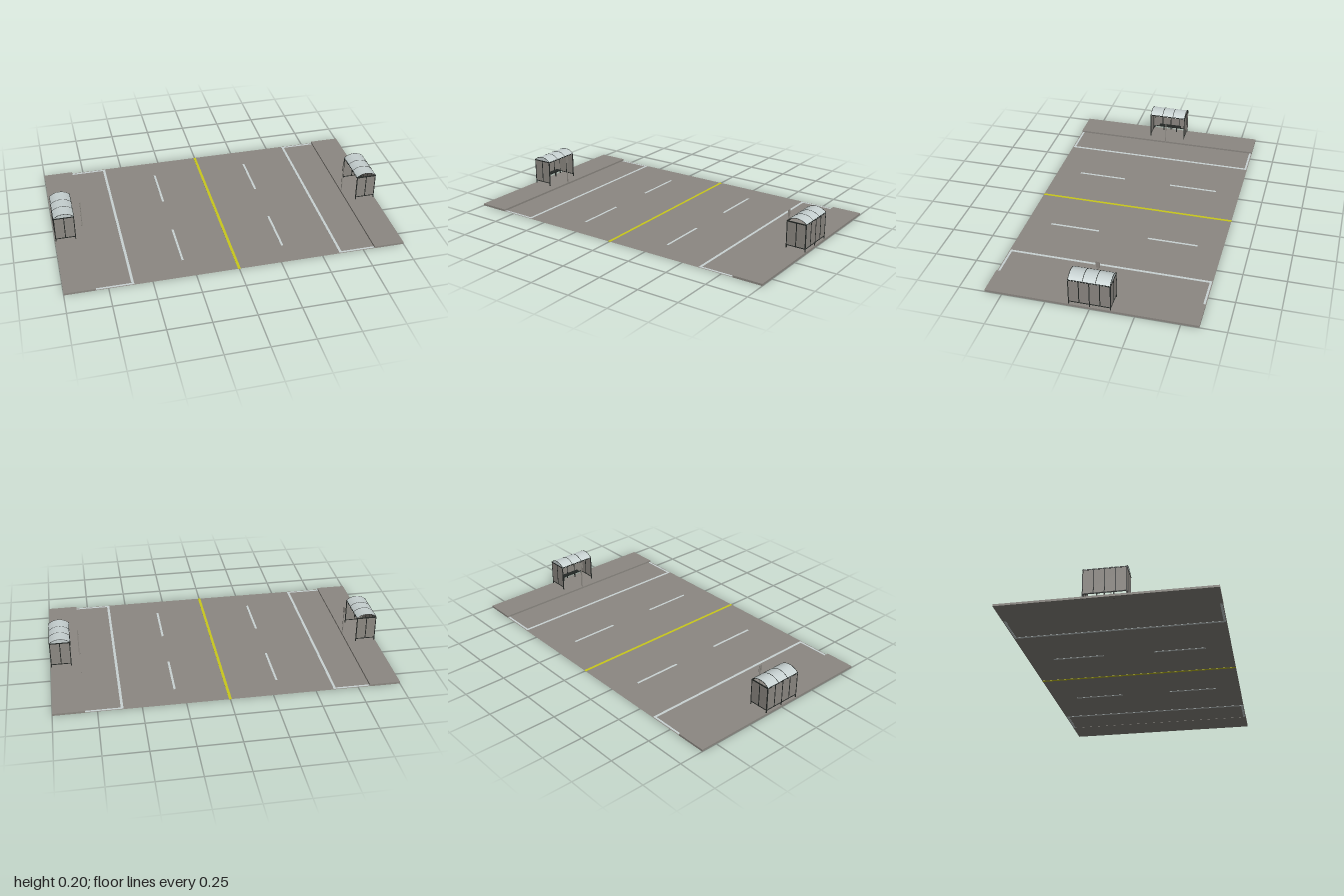
import * as THREE from 'three';

const mat = (name, color, side = THREE.FrontSide) => {
  const m = new THREE.MeshStandardMaterial({ color, side });
  m.name = name;
  return m;
};

export function createModel() {
  const asphalt = mat('asphalt grey', 0x8c8882, THREE.DoubleSide);
  const paint = mat('pale paint', 0xc9d2d2);
  const yellow = mat('yellow paint', 0xc9c81c);
  const black = mat('black frame', 0x232725);
  const roofMat = mat('pale roof', 0xc6d0d0, THREE.DoubleSide);
  const lunetteMat = mat('pale end', 0xc6d0d0);

  const model = new THREE.Group();
  model.name = 'streetWithBusShelters';

  const add = (parent, name, geo, material, x, y, z) => {
    const m = new THREE.Mesh(geo, material);
    m.name = name;
    m.position.set(x, y, z);
    parent.add(m);
    return m;
  };
  // box given by its min and max on each axis
  const box = (parent, name, material, x0, x1, y0, y1, z0, z1) =>
    add(parent, name, new THREE.BoxGeometry(x1 - x0, y1 - y0, z1 - z0), material,
      (x0 + x1) / 2, (y0 + y1) / 2, (z0 + z1) / 2);

  // Road surface and centre line; paint shows on both faces
  const roadGeo = new THREE.PlaneGeometry(1.64, 1.2).rotateX(-Math.PI / 2);
  add(model, 'road', roadGeo, asphalt, 0, 0.001, 0);
  box(model, 'centreLine', yellow, -0.008, 0.008, 0, 0.002, -0.6, 0.6);

  // One side of the street, turned half round for the other
  const makeSide = () => {
    const side = new THREE.Group();
    box(side, 'sidewalk', asphalt, 0.82, 1, 0, 0.012, -0.6, 0.6);

    // Lane markings
    box(side, 'edgeLine', paint, 0.605, 0.62, 0, 0.002, -0.595, 0.595);
    for (const s of [-1, 1]) {
      const z = s * 0.589, d = s * 0.3;
      box(side, 'bayEndLine', paint, 0.62, 0.82, 0, 0.002, z - 0.006, z + 0.006);
      box(side, 'laneDash', paint, 0.293, 0.306, 0, 0.002, d - 0.15, d + 0.15);
    }

    // Stop sign post beside the kerb
    box(side, 'signPole', asphalt, 0.823, 0.828, 0.012, 0.19, -0.0025, 0.0025);
    box(side, 'signPlate', asphalt, 0.824, 0.827, 0.15, 0.19, -0.011, 0.011);

    side.add(makeShelter());
    return side;
  };

  const makeShelter = () => {
    const g = new THREE.Group();
    g.name = 'busShelter';
    const xf = 0.877, xb = 0.994, xm = (xf + xb) / 2, hz = 0.117;
    const t = 0.0025, low = 0.03, top = 0.172;
    const post = (name, x, z, y0) =>
      box(g, name, black, x - t, x + t, y0, top, z - t, z + t);

    // Corner posts and back centre post reach the ground, mullions do not
    for (const z of [-hz, hz]) {
      post('frontPost', xf, z, 0);
      post('backPost', xb, z, 0);
      post('sideMullion', xm, z, low);
      box(g, 'sidePanel', asphalt, xf, xb, low, top, z - 0.001, z + 0.001);
      box(g, 'sideBottomRail', black, xf, xb, low - t, low + t, z - t, z + t);
      box(g, 'sideTopRail', black, xf, xb, top - 0.003, top + 0.003, z - t, z + t);
    }
    post('backCentrePost', xb, 0, 0);
    for (const z of [-hz / 2, hz / 2]) post('backMullion', xb, z, low);
    box(g, 'backPanel', asphalt, xb - 0.001, xb + 0.001, low, top, -hz, hz);
    box(g, 'backBottomRail', black, xb - t, xb + t, low - t, low + t, -hz, hz);

    // Eaves along front and back
    for (const x of [xf, xb])
      box(g, 'eaveRail', black, x - 0.003, x + 0.003, top - 0.003, top + 0.003, -0.12, 0.12);

    // Bench
    box(g, 'benchSeat', black, 0.955, 0.985, 0.048, 0.054, -0.075, 0.075);
    for (const z of [-0.046, 0.046])
      box(g, 'benchLeg', black, 0.968, 0.974, 0, 0.05, z - 0.003, z + 0.003);

    // Arched roof
    const half = 0.062, rise = 0.026;
    const r = (half * half + rise * rise) / (2 * rise);
    const a = Math.asin(half / r), cy = 0.198 - r;
    const roof = new THREE.CylinderGeometry(r, r, 0.236, 16, 1, true, -a, 2 * a).rotateX(-Math.PI / 2);
    add(g, 'roof', roof, roofMat, xm, cy, 0);
    const rib = new THREE.TorusGeometry(r, 0.0018, 6, 16, 2 * a).rotateZ(Math.PI / 2 - a);
    for (const z of [-hz, -0.036, 0.036, hz]) add(g, 'roofRib', rib, black, xm, cy, z);

    // Infill under one end of the arch
    const arch = new THREE.Shape();
    arch.absarc(0, 0, r, Math.PI / 2 - a, Math.PI / 2 + a, false);
    arch.closePath();
    add(g, 'roofEnd', new THREE.ShapeGeometry(arch, 16).rotateY(Math.PI), lunetteMat, xm, cy, -hz);
    return g;
  };

  const left = makeSide();
  left.name = 'leftSide';
  const right = makeSide();
  right.name = 'rightSide';
  right.rotation.y = Math.PI;
  model.add(left, right);
  return model;
}
